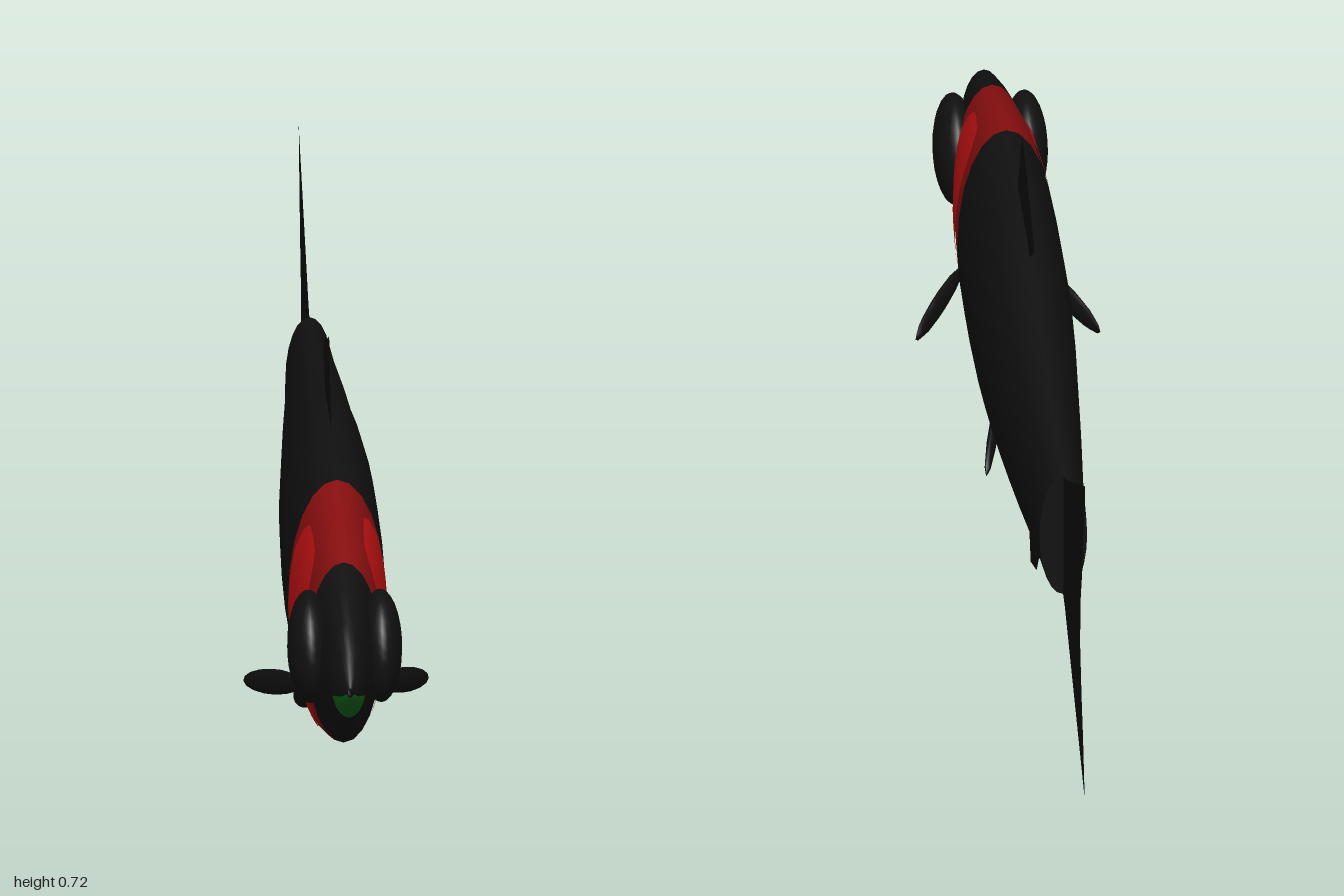
import * as THREE from 'three';

const mat = (name, color, side = THREE.FrontSide) => {
  const m = new THREE.MeshStandardMaterial({ color, side });
  m.name = name;
  return m;
};

// Body stations: z, top, bottom, half width
const STATIONS = [
  [-0.59, 0.475, 0.255, 0.04], [-0.45, 0.49, 0.235, 0.047], [-0.25, 0.52, 0.2, 0.061],
  [-0.12, 0.535, 0.18, 0.069], [0, 0.56, 0.162, 0.076], [0.1, 0.577, 0.15, 0.08],
  [0.2, 0.583, 0.145, 0.083], [0.35, 0.583, 0.142, 0.084], [0.48, 0.58, 0.148, 0.082],
  [0.62, 0.562, 0.17, 0.075], [0.74, 0.532, 0.208, 0.062], [0.81, 0.512, 0.235, 0.052],
  [0.9, 0.48, 0.29, 0.038], [0.95, 0.445, 0.335, 0.026], [0.985, 0.415, 0.365, 0.014],
  [1, 0.4, 0.386, 0.004],
];

function station(z) {
  let i = 0;
  while (i < STATIONS.length - 2 && z > STATIONS[i + 1][0]) i++;
  const a = STATIONS[i], b = STATIONS[i + 1];
  const t = (z - a[0]) / (b[0] - a[0]);
  return a.map((v, k) => v + (b[k] - v) * t);
}

// Skin of the body between two z values and two angles, optionally raised;
// round > 0 narrows the angular span towards both ends to give a rounded patch
function skin(z0, z1, a0 = -Math.PI / 2, a1 = 1.5 * Math.PI, raise = 0, round = 0) {
  const inner = STATIONS.map((s) => s[0]).filter((z) => z > z0 + 0.001 && z < z1 - 0.001);
  const extra = round ? [0.1, 0.25, 0.5, 0.75, 0.9].map((t) => z0 + (z1 - z0) * t) : [];
  const zs = [z0, ...inner, ...extra, z1].sort((a, b) => a - b);
  const n = 24, pos = [], index = [];
  zs.forEach((z, i) => {
    const [, top, bottom, w] = station(z);
    const u = (2 * (z - z0)) / (z1 - z0) - 1;
    const span = 1 - round * u ** 4;
    const mid = (a0 + a1) / 2;
    for (let j = 0; j <= n; j++) {
      const a = mid + (a1 - a0) * (j / n - 0.5) * span;
      pos.push(Math.cos(a) * (w + raise),
        (top + bottom) / 2 + Math.sin(a) * ((top - bottom) / 2 + raise), z);
      if (i < zs.length - 1 && j < n) {
        const p = i * (n + 1) + j, q = p + n + 1;
        index.push(p, p + 1, q, p + 1, q + 1, q);
      }
    }
  });
  const g = new THREE.BufferGeometry();
  g.setAttribute('position', new THREE.Float32BufferAttribute(pos, 3));
  g.setIndex(index);
  g.computeVertexNormals();
  return g;
}

// Flat fin in the middle plane from (z, y) points
function sheet(points) {
  const g = new THREE.ShapeGeometry(new THREE.Shape(points.map(([z, y]) => new THREE.Vector2(-z, y))));
  return g.rotateY(Math.PI / 2);
}

// Slim leaf-shaped fin from root to tip
function leaf(root, tip, width, thick) {
  const a = new THREE.Vector3(...root), b = new THREE.Vector3(...tip);
  const along = b.clone().sub(a), half = along.length() / 2;
  along.normalize();
  const up = new THREE.Vector3(0, 1, 0).addScaledVector(along, -along.y).normalize();
  const side = along.clone().cross(up);
  const g = new THREE.SphereGeometry(1, 10, 8).scale(half, width, thick);
  return g.applyMatrix4(new THREE.Matrix4().makeBasis(along, up, side)
    .setPosition(a.add(b).multiplyScalar(0.5)));
}

export function createModel() {
  const fish = new THREE.Group();
  fish.name = 'fish';
  const black = mat('black', 0x111111);
  const finBlack = mat('fin black', 0x0f0f0f, THREE.DoubleSide);
  const red = mat('red', 0xc01212);
  const darkRed = mat('dark red', 0x8a0f10);
  const green = mat('green', 0x12601a);
  const add = (name, geometry, material) => {
    const m = new THREE.Mesh(geometry, material);
    m.name = name;
    fish.add(m);
    return m;
  };

  // Body in three bands
  add('body', skin(-0.59, 0.48), black);
  add('gillBand', skin(0.48, 0.745), darkRed);
  add('head', skin(0.745, 1), black);
  const cap = add('tailRoot', new THREE.CircleGeometry(1, 24).rotateY(Math.PI), black);
  cap.scale.set(0.04, 0.11, 1);
  cap.position.set(0, 0.365, -0.59);

  // Green lower lip
  add('lowerLip', skin(0.945, 1, -Math.PI / 2 - 1.2, -Math.PI / 2 + 1.2, 0.002), green);

  // Middle fins
  add('dorsalFin', sheet([[0.27, 0.57], [0.18, 0.725], [0.1, 0.69], [0.02, 0.662],
    [-0.05, 0.62], [0.04, 0.565], [0.1, 0.55]]), finBlack);
  add('analFin', sheet([[0.11, 0.17], [0.02, 0.005], [-0.09, 0.045], [-0.13, 0.085],
    [-0.19, 0.13], [-0.13, 0.168], [-0.08, 0.19]]), finBlack);
  add('tailFin', sheet([[-0.58, 0.475], [-0.62, 0.485], [-1, 0.665], [-0.97, 0.56], [-0.945, 0.48],
    [-0.91, 0.4], [-0.905, 0.32], [-0.93, 0.24], [-0.96, 0.17], [-0.99, 0.075],
    [-0.62, 0.245], [-0.58, 0.255]]), finBlack);

  // Paired parts
  for (const [label, s] of [['left', 1], ['right', -1]]) {
    const mid = s > 0 ? 0 : Math.PI;
    add(`${label}GillCover`, skin(0.515, 0.7, mid - 0.95, mid + 1.05, 0.002, 0.4), red);
    const eye = add(`${label}Eye`, new THREE.SphereGeometry(1, 24, 16), black);
    eye.scale.set(0.036, 0.095, 0.092);
    eye.position.set(s * 0.06, 0.395, 0.78);
    add(`${label}PectoralFin`, leaf([s * 0.062, 0.264, 0.6], [s * 0.155, 0.212, 0.445], 0.022, 0.008), finBlack);
    add(`${label}PelvicFin`, leaf([s * 0.022, 0.155, 0.35], [s * 0.06, 0.085, 0.185], 0.022, 0.008), finBlack);
  }
  return fish;
}
